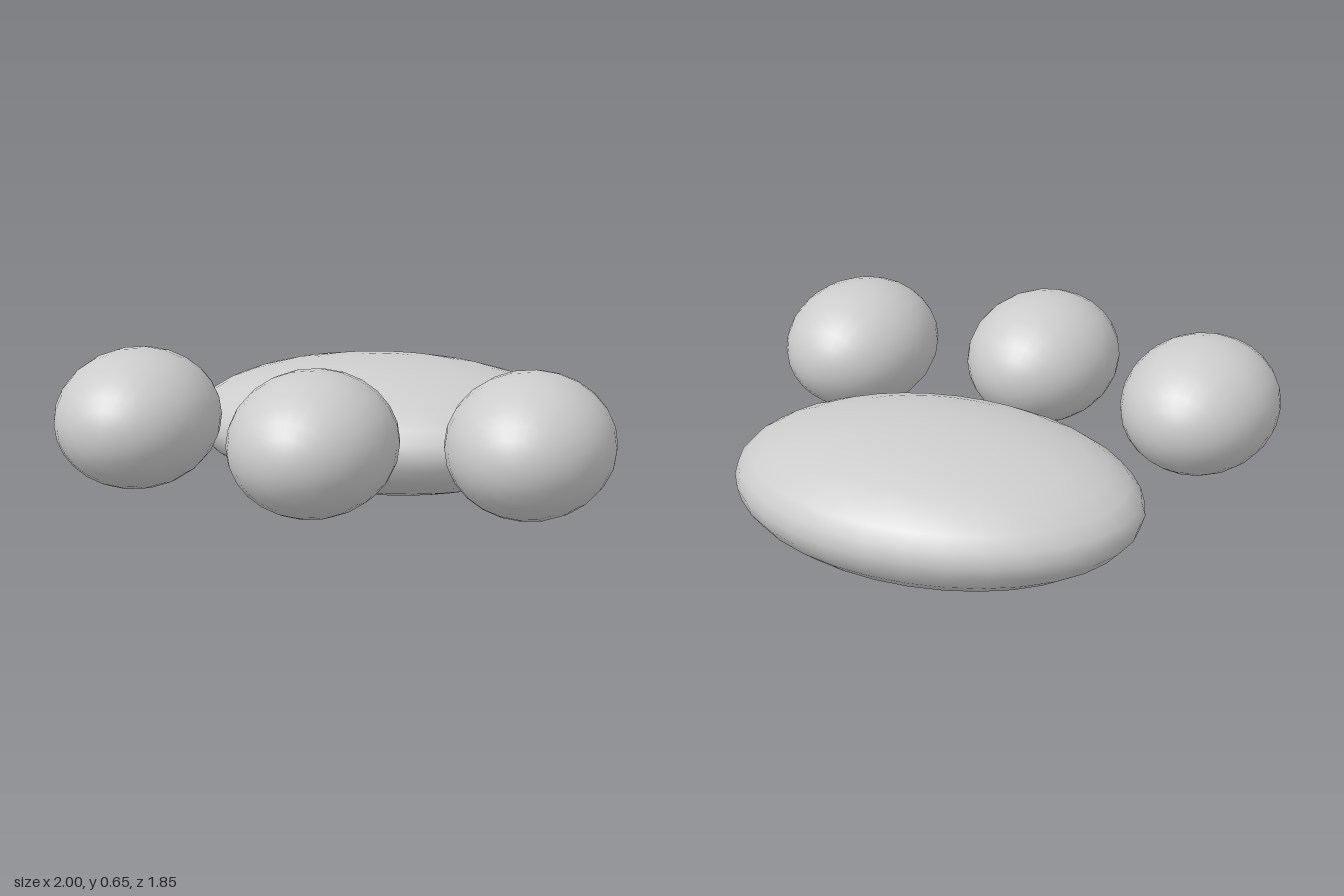
import * as THREE from 'three';

// Paw: one wide pad and three raised toes, all smooth ellipsoids.
export function createModel() {
  const group = new THREE.Group();
  group.name = 'paw';
  const grey = new THREE.MeshStandardMaterial({ color: 0xcccccc });
  grey.name = 'light grey';

  function ellipsoid(name, geometry, radii, position) {
    geometry.scale(...radii);
    const mesh = new THREE.Mesh(geometry, grey);
    mesh.name = name;
    mesh.position.set(...position);
    group.add(mesh);
  }

  // Main pad, flattened from top to bottom
  ellipsoid('mainPad', new THREE.SphereGeometry(1, 32, 16), [0.76, 0.25, 0.56], [0, 0.255, -0.365]);

  // Toes, with their poles pointing forwards and backwards
  const toes = [['rightToe', -0.71, 0.4], ['middleToe', 0, 0.58], ['leftToe', 0.71, 0.4]];
  for (const [name, x, z] of toes) {
    const geometry = new THREE.SphereGeometry(1, 24, 16).rotateX(Math.PI / 2);
    ellipsoid(name, geometry, [0.29, 0.25, 0.343], [x, 0.405, z]);
  }
  return group;
}
